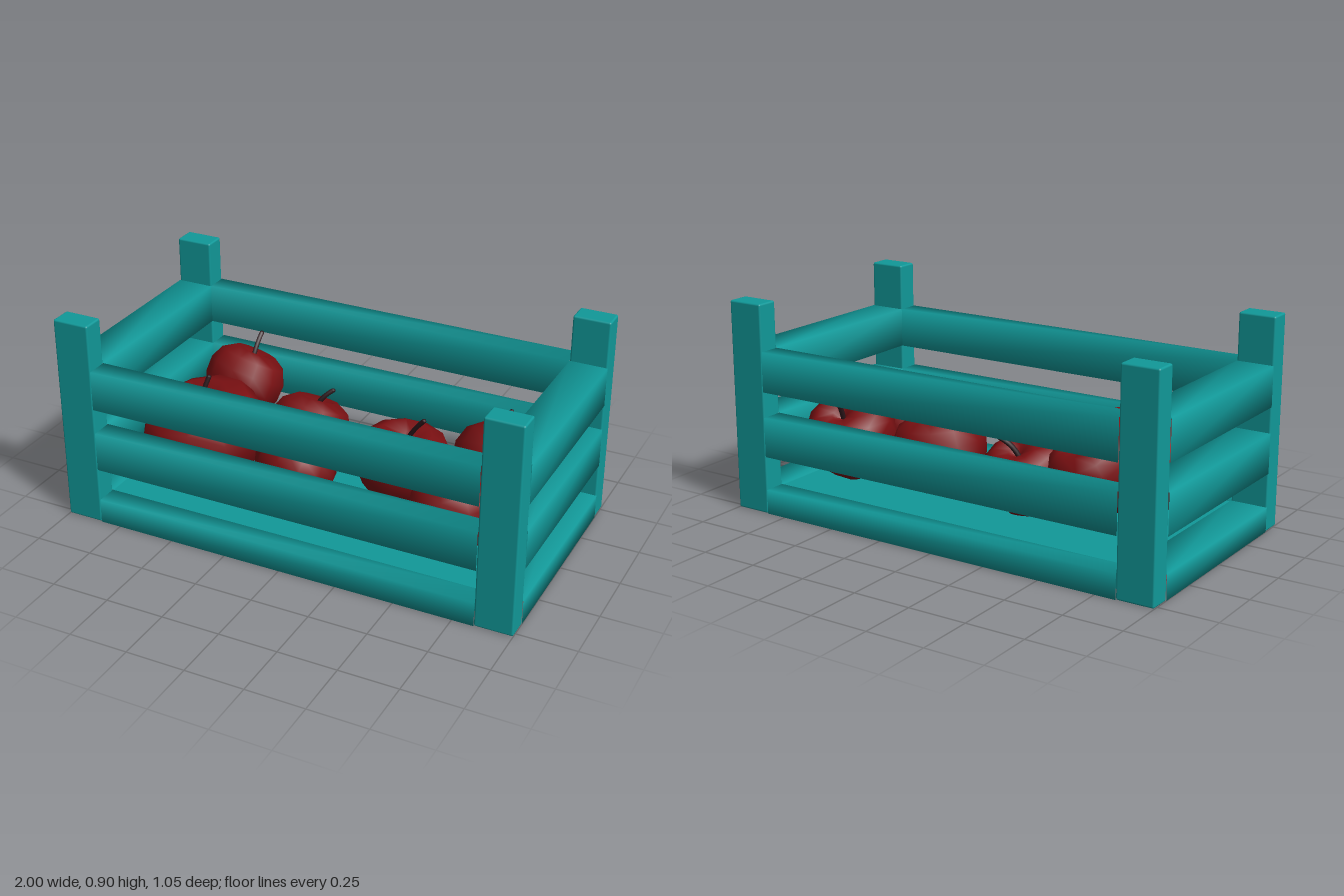
import * as THREE from 'three';
import { mergeVertices } from 'three/addons/utils/BufferGeometryUtils.js';
import { RoundedBoxGeometry } from 'three/addons/geometries/RoundedBoxGeometry.js';

const V = (x, y, z) => new THREE.Vector3(x, y, z);
const HX = 1, HZ = 0.525;      // crate half sizes
const PX = 0.16, PZ = 0.095;   // post section, also the slat thicknesses

const teal = new THREE.MeshStandardMaterial({ color: 0x119999 });
const red = new THREE.MeshStandardMaterial({ color: 0x7a1012 });
const brown = new THREE.MeshStandardMaterial({ color: 0x2a1519 });

function add(parent, name, geometry, material, x = 0, y = 0, z = 0) {
  const mesh = new THREE.Mesh(geometry, material);
  mesh.name = name;
  mesh.position.set(x, y, z);
  parent.add(mesh);
  return mesh;
}

// Slat with softly shaded long edges; its ends butt against the posts
function slatGeometry(length, height, depth) {
  const g = new THREE.BoxGeometry(length, height, depth);
  g.setIndex(Array.from(g.index.array).slice(12)); // drop the hidden ends
  g.deleteAttribute('normal');
  g.deleteAttribute('uv');
  const welded = mergeVertices(g);
  welded.computeVertexNormals();
  return welded;
}

function buildCrate() {
  const crate = new THREE.Group();
  crate.name = 'crate';

  // Corner posts
  const post = new RoundedBoxGeometry(PX, 0.9, PZ, 2, 0.008);
  for (const sx of [-1, 1]) for (const sz of [-1, 1])
    add(crate, 'cornerPost', post, teal, sx * (HX - PX / 2), 0.45, sz * (HZ - PZ / 2));

  // Three levels of slats; the lowest frames the floor
  for (const [low, high] of [[0, 0.105], [0.25, 0.42], [0.53, 0.7]]) {
    const h = high - low, y = (low + high) / 2;
    const long = slatGeometry(2 * (HX - PX), h, PZ);
    const short = slatGeometry(2 * (HZ - PZ), h, PX);
    for (const s of [-1, 1]) {
      add(crate, 'longSlat', long, teal, 0, y, s * (HZ - PZ / 2));
      add(crate, 'endSlat', short, teal, s * (HX - PX / 2), y, 0).rotation.y = Math.PI / 2;
    }
  }

  // Floor
  add(crate, 'floor', new THREE.BoxGeometry(2 * (HX - PX), 0.1, 2 * (HZ - PZ)), teal, 0, 0.05, 0);
  return crate;
}

// Unit apple profile, radius 1 and half height 1, with dimples at both ends
const profile = [[0, -0.85], [0.22, -0.97], [0.5, -0.95], [0.8, -0.55], [0.97, -0.05],
  [0.98, 0.4], [0.83, 0.78], [0.52, 1], [0.2, 0.86], [0, 0.66]].map(([r, y]) => new THREE.Vector2(r, y));
const appleGeometry = new THREE.LatheGeometry(profile, 11);

// centre, radius, half height, stem base, stem tip
const apples = [
  { c: [-0.58, 0.36, -0.24], r: 0.176, h: 0.155, base: [-0.555, 0.46, -0.29], tip: [-0.55, 0.56, -0.365] },
  { c: [-0.55, 0.295, 0.13], r: 0.268, h: 0.195, base: [-0.57, 0.42, 0.155], tip: [-0.54, 0.56, 0.11] },
  { c: [-0.21, 0.255, -0.145], r: 0.178, h: 0.152, base: [-0.2, 0.35, -0.19], tip: [-0.135, 0.43, -0.235] },
  { c: [-0.12, 0.25, 0.165], r: 0.176, h: 0.15, base: [-0.085, 0.34, 0.135], tip: [-0.02, 0.43, 0.145] },
  { c: [0.27, 0.25, -0.075], r: 0.205, h: 0.16, base: [0.28, 0.36, -0.075], tip: [0.36, 0.48, -0.07] },
  { c: [0.65, 0.28, -0.17], r: 0.198, h: 0.175, base: [0.65, 0.38, -0.24], tip: [0.655, 0.49, -0.29] },
  { c: [0.6, 0.25, 0.18], r: 0.176, h: 0.15, base: [0.56, 0.34, 0.15], tip: [0.53, 0.43, 0.08] },
];

function buildApple({ c, r, h, base, tip }, i) {
  const apple = new THREE.Group();
  apple.name = 'apple';
  const centre = V(...c), b = V(...base), t = V(...tip);

  // Body leans towards its stem
  const body = add(apple, 'appleBody', appleGeometry, red, ...c);
  body.scale.set(r, h, r);
  const spin = new THREE.Quaternion().setFromAxisAngle(V(0, 1, 0), i * 0.9);
  body.quaternion.setFromUnitVectors(V(0, 1, 0), b.clone().sub(centre).normalize()).multiply(spin);

  // Stem rises from the dimple and bends to its tip
  const bend = b.clone().lerp(t, 0.35).add(V(0, 0.025, 0));
  const path = new THREE.QuadraticBezierCurve3(b, bend, t);
  add(apple, 'appleStem', new THREE.TubeGeometry(path, 5, 0.011, 6), brown);
  const cap = add(apple, 'stemTip', new THREE.SphereGeometry(0.0115, 6, 4), brown, ...tip);
  cap.scale.y = 0.8;
  return apple;
}

export function createModel() {
  const model = new THREE.Group();
  model.name = 'appleCrate';
  model.add(buildCrate());
  apples.forEach((a, i) => model.add(buildApple(a, i)));
  return model;
}
